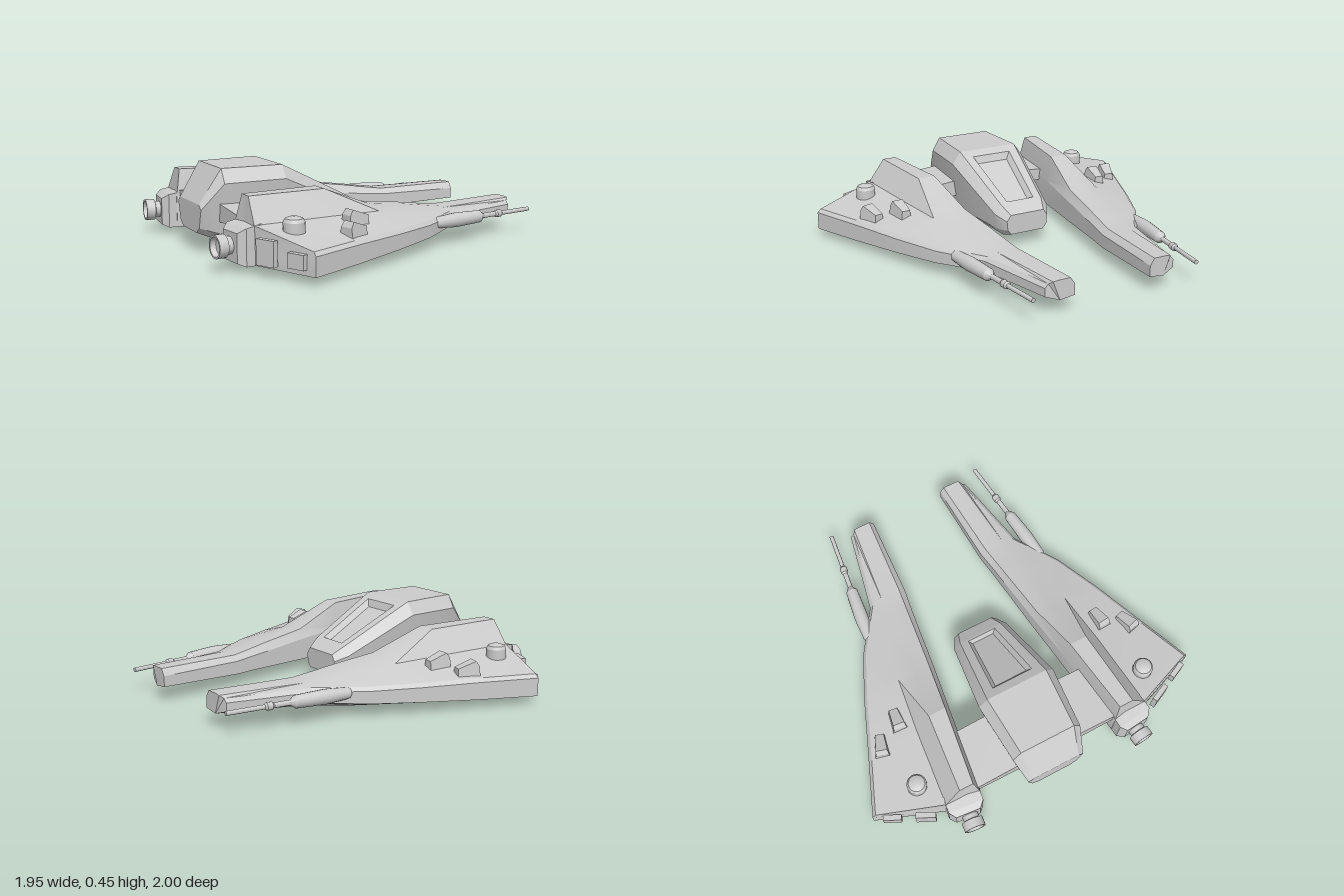
import * as THREE from 'three';
import { toCreasedNormals } from 'three/addons/utils/BufferGeometryUtils.js';

const material = new THREE.MeshStandardMaterial({ color: 0xcccccc, side: THREE.DoubleSide });

function part(name, geometry, parent, x = 0, y = 0, z = 0, turn = 0) {
  const mesh = new THREE.Mesh(geometry, material);
  mesh.name = name;
  mesh.position.set(x, y, z);
  mesh.rotation.y = turn;
  parent.add(mesh);
  return mesh;
}

// Skin a list of equal-length rings of [x, y, z]; caps fan out from each ring's last point.
function loft(rings, { startCap = true, endCap = true, skip = () => false, crease = 0.3 } = {}) {
  const n = rings[0].length, last = rings.length - 1, index = [];
  for (let r = 0; r < last; r++) {
    for (let i = 0; i < n; i++) {
      if (skip(r, i)) continue;
      const j = (i + 1) % n, a = r * n, b = a + n;
      index.push(a + i, a + j, b + j, a + i, b + j, b + i);
    }
  }
  for (let i = 0; i < n - 2; i++) {
    if (startCap) index.push(n - 1, i + 1, i);
    if (endCap) index.push(last * n + n - 1, last * n + i, last * n + i + 1);
  }
  const geometry = new THREE.BufferGeometry();
  geometry.setAttribute('position', new THREE.Float32BufferAttribute(rings.flat(2), 3));
  geometry.setIndex(index);
  return toCreasedNormals(geometry, crease);
}

// Turned shape along +x from [radius, x] pairs
function turned(profile, sides = 20) {
  const points = profile.map(([r, h]) => new THREE.Vector2(r, h));
  return toCreasedNormals(new THREE.LatheGeometry(points, sides).rotateZ(-Math.PI / 2), 0.5);
}

// Side hull stations: x, outer x, inner z, inner bottom y, inner top y, ridge z1, ridge z2,
// ridge y, ridge foot z, foot y, outer z, outer top y, outer bottom y, keel z, keel y
const HULL = [
  [-0.82, -0.66, 0.42, 0.05, 0.21, 0.45, 0.53, 0.365, 0.62, 0.235, 1.0, 0.165, 0.045, 0.56, 0.035],
  [-0.35, -0.35, 0.36, 0.06, 0.21, 0.39, 0.49, 0.36, 0.575, 0.23, 0.875, 0.165, 0.05, 0.54, 0.018],
  [-0.05, -0.05, 0.318, 0.065, 0.19, 0.345, 0.42, 0.245, 0.535, 0.222, 0.757, 0.162, 0.062, 0.53, 0],
  [0.2, 0.2, 0.287, 0.068, 0.165, 0.315, 0.38, 0.212, 0.47, 0.2, 0.645, 0.16, 0.072, 0.47, 0.02],
  [0.33, 0.33, 0.27, 0.07, 0.155, 0.3, 0.375, 0.192, 0.43, 0.185, 0.56, 0.16, 0.078, 0.42, 0.032],
  [0.45, 0.45, 0.252, 0.07, 0.145, 0.285, 0.37, 0.175, 0.4, 0.172, 0.48, 0.16, 0.085, 0.37, 0.042],
  [0.93, 0.91, 0.225, 0.085, 0.145, 0.25, 0.32, 0.183, 0.35, 0.18, 0.385, 0.165, 0.1, 0.31, 0.075],
];

function hullRing([x, xo, zi, yib, yit, z1, z2, yr, z3, y3, zo, yot, yob, zk, yk]) {
  const foot = x < -0.8 ? -0.8 : x, ridge = x < -0.8 ? -0.79 : x;
  return [
    [x, yib, zi], [x, yit, zi], [ridge, yr, z1], [ridge, yr, z2], [foot, y3, z3],
    [xo, yot, zo - 0.02], [xo, yot - 0.02, zo], [xo, yob, zo], [x, yk, zk],
  ];
}

// Wedge that is tall at the rear and fades into the deck at the front
function wedge() {
  const ring = (x, y, w) => [[x, -0.04, -w], [x, y, -w * 0.8], [x, y, w * 0.8], [x, -0.04, w]];
  return loft([ring(-0.06, 0.015, 0.045), ring(-0.04, 0.045, 0.04), ring(0.06, 0.01, 0.03)]);
}

function buildSide() {
  const side = new THREE.Group();
  part('sideHull', loft(HULL.map(hullRing)), side);

  // Engine block with chamfered rear corners, and its hollow nozzle
  const block = (x, w, lo, hi) => [[x, lo, -w], [x, hi, -w], [x, hi, w], [x, lo, w]];
  part('engineBlock', loft([
    block(-0.06, 0.07, 0.05, 0.2), block(-0.025, 0.1, 0.035, 0.225), block(0.06, 0.1, 0.035, 0.24),
  ]), side, -0.83, 0, 0.525, 0.1);
  part('engineNozzle', turned([
    [0, 0.035], [0.045, 0.03], [0.05, 0], [0.06, 0], [0.06, 0.05], [0.045, 0.055], [0.045, 0.1],
  ]), side, -0.972, 0.13, 0.532, 0.1);

  // Raised plates on the slanted stern
  const slant = Math.atan2(0.34, 0.16);
  part('sternPlateInner', new THREE.BoxGeometry(0.11, 0.13, 0.03), side, -0.79, 0.125, 0.74, -slant);
  part('sternPlateOuter', new THREE.BoxGeometry(0.1, 0.075, 0.03), side, -0.71, 0.11, 0.905, -slant);

  // Deck fittings
  const dome = turned([[0.055, 0], [0.055, 0.055], [0.045, 0.072], [0.025, 0.08], [0, 0.082]], 24);
  part('deckDome', dome.rotateZ(Math.PI / 2), side, -0.63, 0.2, 0.71);
  part('deckWedgeInner', wedge(), side, -0.25, 0.23, 0.645, 0.1);
  part('deckWedgeOuter', wedge(), side, -0.335, 0.203, 0.785, 0.3);

  // Gun: fairing, collar and slim barrel
  part('gun', turned([
    [0, 0], [0.03, 0.04], [0.038, 0.14], [0.04, 0.18], [0.036, 0.3], [0.034, 0.35], [0.02, 0.37],
    [0.014, 0.38], [0.014, 0.47], [0.021, 0.48], [0.021, 0.51], [0.012, 0.52], [0.012, 0.73], [0, 0.73],
  ], 16), side, 0.25, 0.13, 0.57, 0.117);

  // Strut linking the hull to the cabin
  const strut = (z, lo, hi) => [[-0.8, lo, z], [-0.47, lo, z], [-0.47, hi, z], [-0.8, hi, z]];
  part('strut', loft([strut(0.1, 0.165, 0.275), strut(0.45, 0.19, 0.245)]), side);
  return side;
}

// Cabin stations: x, bottom y / half width, lower chine, shoulder, roof
const CABIN = [
  [-0.9, 0.11, 0.1, 0.14, 0.14, 0.24, 0.17, 0.265, 0.14],
  [-0.78, 0.06, 0.12, 0.1, 0.165, 0.375, 0.205, 0.45, 0.16],
  [-0.44, 0.06, 0.13, 0.1, 0.19, 0.38, 0.23, 0.45, 0.18],
  [-0.02, 0.06, 0.12, 0.1, 0.155, 0.19, 0.17, 0.24, 0.13],
  [0.05, 0.08, 0.1, 0.105, 0.125, 0.16, 0.13, 0.195, 0.105],
];

function buildCabin() {
  const cabin = new THREE.Group();
  cabin.name = 'cabin';
  const rings = CABIN.map(([x, yb, wb, yl, wl, ym, wm, yt, wt]) => [
    [x, yb, -wb], [x, yl, -wl], [x, ym, -wm], [x, yt, -wt],
    [x, yt, wt], [x, ym, wm], [x, yl, wl], [x, yb, wb],
  ]);
  part('cabinShell', loft(rings, { skip: (r, i) => r === 2 && i === 3, crease: 0.4 }), cabin);

  // Sloping frame with the sunken windscreen
  const roofY = (x) => 0.45 - 0.5 * (x + 0.44);
  const frame = (x0, w0, x1, w1, depth) => [[x0, w0], [x1, w1], [x1, -w1], [x0, -w0]]
    .map(([x, w]) => [x, roofY(x) - depth, w]);
  part('windscreen', loft([
    frame(-0.44, 0.18, -0.02, 0.13, 0),
    frame(-0.39, 0.12, -0.035, 0.085, 0),
    frame(-0.375, 0.095, -0.05, 0.065, 0.035),
  ], { startCap: false }), cabin);
  return cabin;
}

export function createModel() {
  const model = new THREE.Group();
  model.name = 'spacecraft';
  model.add(buildCabin());
  const left = buildSide(), right = buildSide();
  left.name = 'nearSide';
  right.name = 'farSide';
  right.scale.z = -1;
  model.add(left, right);
  return model;
}
